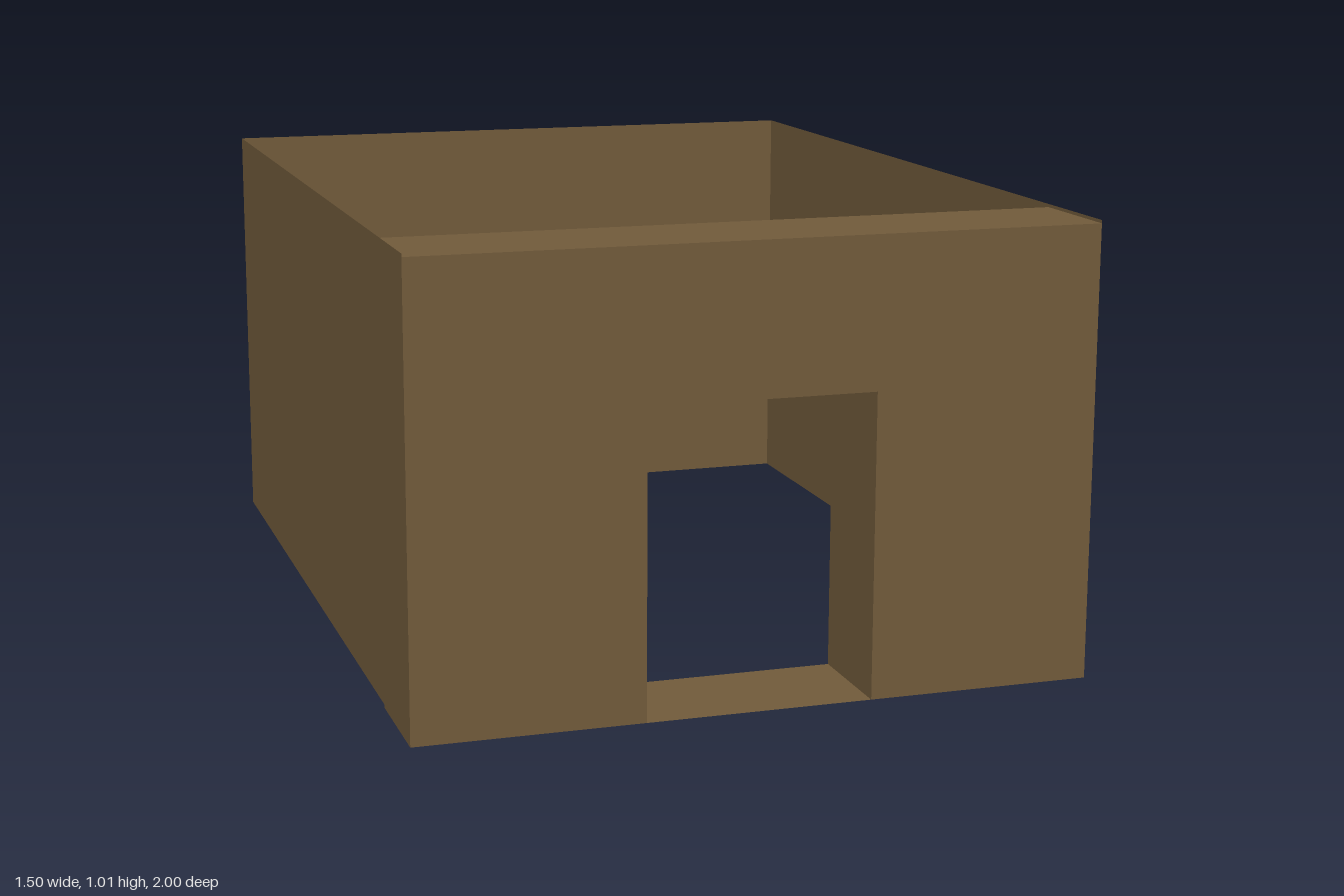
import * as THREE from 'three';

export function createModel() {
  const group = new THREE.Group();
  const brown = new THREE.MeshStandardMaterial({ color: 0x705a3a, side: THREE.DoubleSide });
  brown.name = 'brown';

  const W = 0.75, H = 1, LIFT = 0.007; // half width, height, gap under the thin walls

  const add = (name, geometry, x, y, z) => {
    const mesh = new THREE.Mesh(geometry, brown);
    mesh.name = name;
    mesh.position.set(x, y, z);
    group.add(mesh);
    return mesh;
  };

  // Thick front wall with a doorway open to the ground
  const outline = new THREE.Shape([
    [-W, 0], [-0.25, 0], [-0.25, 0.67], [0.25, 0.67],
    [0.25, 0], [W, 0], [W, H], [-W, H],
  ].map(([x, y]) => new THREE.Vector2(x, y)));
  add('frontWall', new THREE.ExtrudeGeometry(outline, { depth: 0.25, bevelEnabled: false }), 0, 0, 0.75);

  // Thin sill across the doorway
  add('doorSill', new THREE.PlaneGeometry(0.5, 0.25), 0, 0, 0.875).rotation.x = -Math.PI / 2;

  // Single-sheet side and back walls; the room has no floor or roof
  for (const [name, side] of [['leftWall', 1], ['rightWall', -1]]) {
    add(name, new THREE.PlaneGeometry(2, H), side * W, LIFT + H / 2, 0).rotation.y = side * Math.PI / 2;
  }
  add('backWall', new THREE.PlaneGeometry(2 * W, H), 0, LIFT + H / 2, -1).rotation.y = Math.PI;

  return group;
}
